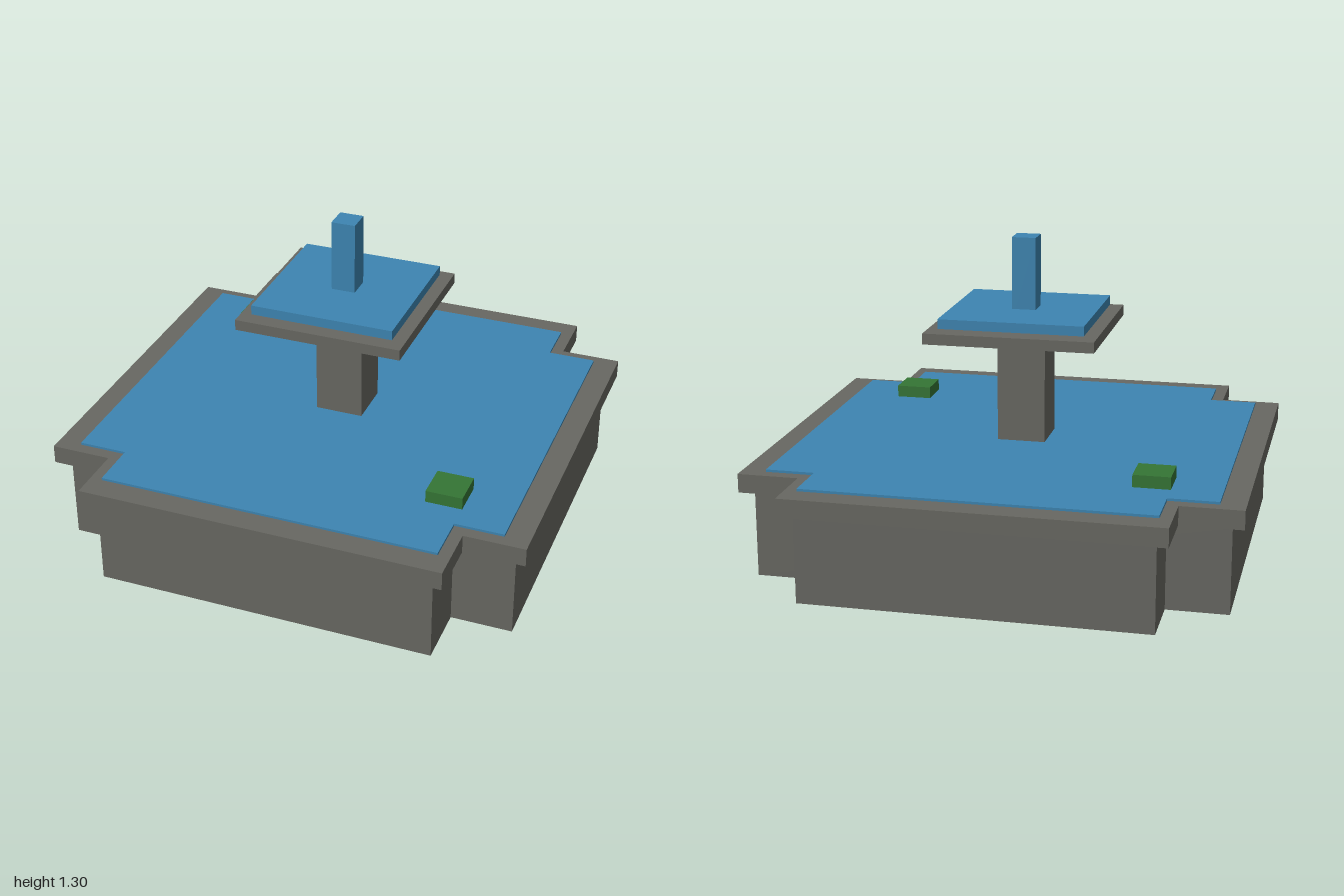
import * as THREE from 'three';

export function createModel() {
  const model = new THREE.Group();
  model.name = 'fountain';

  const stone = new THREE.MeshStandardMaterial({ color: 0x686862 });
  stone.name = 'grey stone';
  stone.side = THREE.DoubleSide; // the base is a hollow shell
  const water = new THREE.MeshStandardMaterial({ color: 0x3d85b2 });
  water.name = 'blue water';
  const leaf = new THREE.MeshStandardMaterial({ color: 0x357535 });
  leaf.name = 'green leaf';

  // Box from its footprint, its bottom and top heights, and its centre
  function block(name, material, width, depth, y0, y1, x = 0, z = 0, openBottom = false) {
    const geometry = new THREE.BoxGeometry(width, y1 - y0, depth);
    if (openBottom) {
      // Box faces come in the order +x, -x, +y, -y, +z, -z, six indices each
      const index = Array.from(geometry.index.array);
      index.splice(18, 6);
      geometry.setIndex(index);
      geometry.clearGroups();
    }
    const mesh = new THREE.Mesh(geometry, material);
    mesh.name = name;
    mesh.position.set(x, (y0 + y1) / 2, z);
    model.add(mesh);
  }

  // Two crossing boxes forming a plus-shaped layer
  function cross(name, material, long, short, y0, y1, openBottom = false) {
    block(name + 'Wide', material, long, short, y0, y1, 0, 0, openBottom);
    block(name + 'Deep', material, short, long, y0, y1, 0, 0, openBottom);
  }

  // Lower basin
  cross('base', stone, 1.9, 1.4, 0, 0.348, true);
  cross('rim', stone, 2, 1.5, 0.363, 0.44);
  cross('poolWater', water, 1.8, 1.4, 0.355, 0.45);

  // Pedestal with the upper basin and its jet
  block('column', stone, 0.2, 0.2, 0.45, 0.905);
  block('upperBasin', stone, 0.7, 0.7, 0.905, 0.95);
  block('upperWater', water, 0.6, 0.6, 0.96, 1.0);
  block('waterJet', water, 0.1, 0.1, 0.95, 1.3);

  // Lily pads in opposite corners
  for (const s of [-1, 1]) {
    block(s > 0 ? 'lilyPadFront' : 'lilyPadBack', leaf, 0.15, 0.15, 0.45, 0.5, s * 0.625, s * 0.525);
  }

  return model;
}
